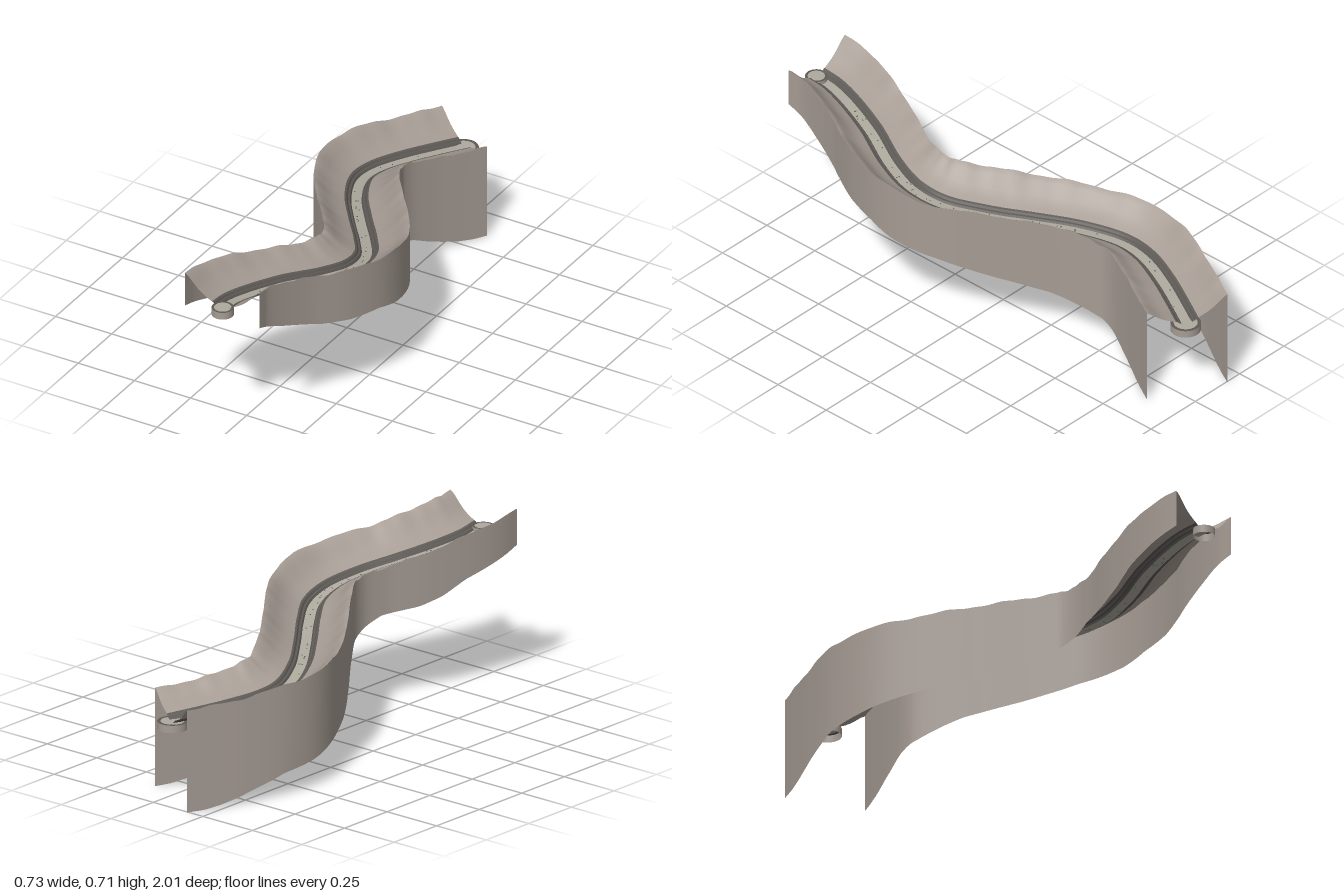
import * as THREE from 'three';
import { toCreasedNormals } from 'three/addons/utils/BufferGeometryUtils.js';

const HALF = 0.164, STEPS = 150;
const paint = (color) => new THREE.MeshStandardMaterial({ color, side: THREE.DoubleSide });
const earth = paint(0xa69c94), shore = paint(0x5e5a56), water = paint(0xaeaa9e);

// Course of the river seen from above, back to front: [x, z]
const course = new THREE.CatmullRomCurve3([
  [-0.03, -0.93], [-0.082, -0.83], [-0.145, -0.7], [-0.194, -0.56], [-0.197, -0.45], [-0.13, -0.29],
  [-0.02, -0.13], [0.1, 0.03], [0.18, 0.16], [0.201, 0.29], [0.168, 0.43], [0.088, 0.61],
  [0.032, 0.78], [0.013, 0.88], [0.015, 0.957],
].map(([x, z]) => new THREE.Vector3(x, 0, z)));

// Heights along z: [z, y]
const riverY = [[-0.95, 0.312], [-0.5, 0.36], [-0.05, 0.42], [0.25, 0.475], [0.6, 0.54], [0.96, 0.592]];
const edges = {
  left: {
    side: -1,
    top: [[-1, 0.413], [-0.82, 0.428], [-0.63, 0.458], [-0.47, 0.467], [-0.26, 0.487], [-0.07, 0.515],
      [0.11, 0.548], [0.24, 0.568], [0.36, 0.58], [0.51, 0.61], [0.69, 0.655], [0.83, 0.685], [0.97, 0.705]],
    bottom: [[-1, 0], [-0.94, 0.002], [-0.88, 0.014], [-0.82, 0.032], [-0.76, 0.055], [-0.69, 0.078],
      [-0.63, 0.1], [-0.47, 0.122], [-0.26, 0.168], [-0.07, 0.21], [0.11, 0.28], [0.24, 0.34], [0.36, 0.392],
      [0.51, 0.405], [0.6, 0.43], [0.7, 0.48], [0.97, 0.56]],
  },
  right: {
    side: 1,
    top: [[-0.86, 0.4], [-0.7, 0.412], [-0.47, 0.463], [-0.35, 0.508], [-0.2, 0.535], [0, 0.565],
      [0.13, 0.572], [0.25, 0.6], [0.43, 0.615], [0.6, 0.638], [0.8, 0.685], [0.95, 0.71]],
    bottom: [[-0.86, 0], [-0.8, 0.004], [-0.74, 0.016], [-0.68, 0.036], [-0.62, 0.06], [-0.55, 0.095],
      [-0.46, 0.13], [-0.3, 0.207], [-0.13, 0.262], [0.06, 0.328], [0.25, 0.36], [0.36, 0.39], [0.5, 0.4],
      [0.62, 0.425], [0.8, 0.49], [0.95, 0.553]],
  },
};

// Cross-section bands from the middle outwards:
// [distance / HALF, rise above water, share of the bank height]
const waterBand = [[0, 0, 0], [0.12, 0, 0]];
const shoreBand = [[0.12, 0, 0], [0.15, 0.008, 0], [0.2, 0.009, 0], [0.23, 0.017, 0], [0.28, 0.019, 0.01]];
const slopeBand = [
  [0.28, 0.019, 0.01], [0.4, 0.02, 0.09], [0.52, 0.016, 0.23], [0.64, 0.01, 0.42], [0.76, 0.004, 0.65],
  [0.87, 0, 0.86], [0.95, 0, 0.96], [1, 0, 1],
];

function lookup(table, z) {
  let i = 1;
  while (i < table.length - 1 && z > table[i][0]) i++;
  const [z0, y0] = table[i - 1], [z1, y1] = table[i];
  return y0 + (y1 - y0) * THREE.MathUtils.clamp((z - z0) / (z1 - z0), 0, 1);
}

// Point beside the course; d is -1 on the left-hand edge and +1 on the right-hand edge
const samples = [];
for (let i = 0; i <= STEPS; i++) {
  samples.push({ p: course.getPointAt(i / STEPS), t: course.getTangentAt(i / STEPS) });
}
function plan(i, d) {
  const { p, t } = samples[i];
  return [p.x + t.z * HALF * d, p.z - t.x * HALF * d];
}

const ripple = (i) => 0.003 * Math.sin(i * 0.4) + 0.0015 * Math.sin(i * 0.9 + 1);

function edgeTop(edge, i) {
  const fade = Math.min(1, i / 6, (STEPS - i) / 6);
  return lookup(edge.top, plan(i, edge.side)[1]) + ripple(i + 20 * edge.side) * fade;
}

// Sheet lofted through rows of points
function loft(name, material, columns, pointAt) {
  const position = [], index = [];
  for (let i = 0; i <= STEPS; i++) {
    for (let j = 0; j < columns; j++) {
      position.push(...pointAt(i, j));
      if (i === STEPS || j === columns - 1) continue;
      const a = i * columns + j, b = a + columns;
      index.push(a, b, a + 1, b, b + 1, a + 1);
    }
  }
  const geometry = new THREE.BufferGeometry();
  geometry.setAttribute('position', new THREE.Float32BufferAttribute(position, 3));
  geometry.setIndex(index);
  const mesh = new THREE.Mesh(toCreasedNormals(geometry, 0.5), material);
  mesh.name = name;
  return mesh;
}

// One band of the cross-section, swept along one side of the river
function band(name, material, profile, edge) {
  const ordered = edge.side < 0 ? [...profile].reverse() : profile;
  return loft(name, material, ordered.length, (i, j) => {
    const [d, rise, share] = ordered[j];
    const [x, z] = plan(i, d * edge.side);
    const level = lookup(riverY, samples[i].p.z);
    return [x, level + rise + (edgeTop(edge, i) - level) * share, z];
  });
}

// Round pool: open wall, dark rim and a disc of water
function pool(name, x, y, z, r) {
  const group = new THREE.Group();
  group.name = name;
  group.position.set(x, y, z);
  const add = (part, geometry, material) => {
    const mesh = new THREE.Mesh(geometry, material);
    mesh.name = part;
    group.add(mesh);
  };
  add('poolWall', new THREE.CylinderGeometry(r, r, 0.03, 40, 1, true), earth);
  add('poolRim', new THREE.RingGeometry(r * 0.78, r, 40).rotateX(-Math.PI / 2).translate(0, 0.015, 0), shore);
  add('poolWater', new THREE.CircleGeometry(r * 0.78, 40).rotateX(-Math.PI / 2).translate(0, 0.015, 0), water);
  return group;
}

export function createModel() {
  const group = new THREE.Group();
  group.name = 'riverValley';

  // Water, shore, slope and hanging outer wall on each side
  for (const [name, edge] of Object.entries(edges)) {
    group.add(band(name + 'Water', water, waterBand, edge));
    group.add(band(name + 'Shore', shore, shoreBand, edge));
    group.add(band(name + 'Slope', earth, slopeBand, edge));
    group.add(loft(name + 'Wall', earth, 2, (i, j) => {
      const [x, z] = plan(i, edge.side);
      return [x, j ? lookup(edge.bottom, z) : edgeTop(edge, i), z];
    }));
  }

  // Pools at both ends of the river
  group.add(pool('frontPool', 0.017, 0.585, 0.957, 0.043));
  group.add(pool('backPool', -0.03, 0.302, -0.922, 0.059));

  // Pebbles scattered in the water
  let seed = 7;
  const random = () => (seed = (seed * 16807) % 2147483647) / 2147483647;
  const pebbleShape = new THREE.IcosahedronGeometry(0.003, 0);
  for (let k = 0; k < 40; k++) {
    const i = Math.floor(8 + random() * (STEPS - 16));
    const [x, z] = plan(i, (random() - 0.5) * 0.2);
    const pebble = new THREE.Mesh(pebbleShape, shore);
    pebble.name = 'pebble';
    pebble.position.set(x, lookup(riverY, samples[i].p.z), z);
    group.add(pebble);
  }
  return group;
}
